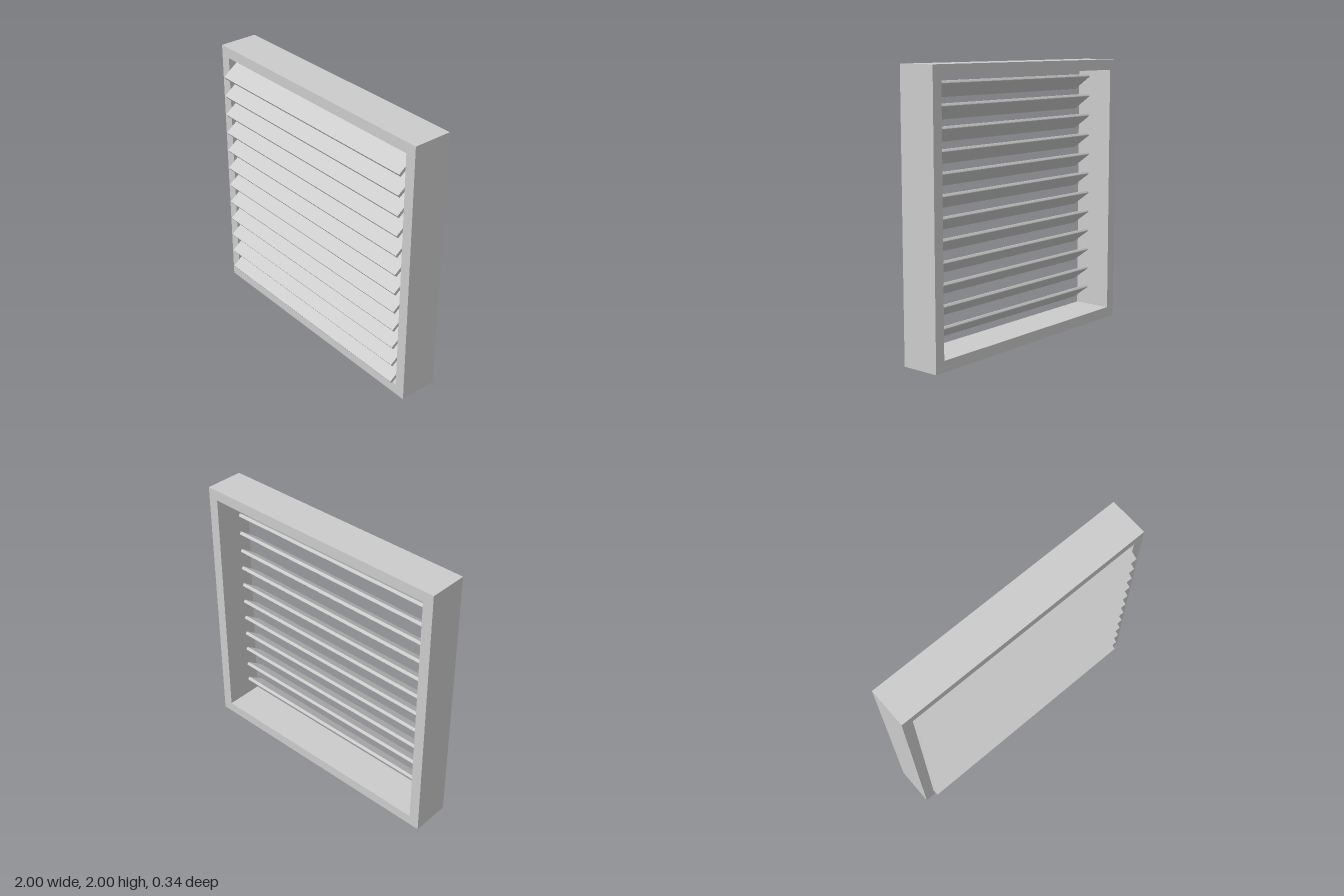
import * as THREE from 'three';

const material = new THREE.MeshStandardMaterial({ color: 0xcccccc, flatShading: true });

// Square frame: outer outline with a square opening, extruded along z
function makeFrame(half, inner, zBack, zFront) {
  const square = (Type, r) => new Type([
    new THREE.Vector2(-r, -r), new THREE.Vector2(r, -r),
    new THREE.Vector2(r, r), new THREE.Vector2(-r, r),
  ]);
  const shape = square(THREE.Shape, half);
  shape.holes.push(square(THREE.Path, inner));
  const geometry = new THREE.ExtrudeGeometry(shape, { depth: zFront - zBack, bevelEnabled: false });
  geometry.translate(0, half, zBack);
  const frame = new THREE.Mesh(geometry, material);
  frame.name = 'frame';
  return frame;
}

// Slat: flat strip with a square front edge and a slightly eased back edge.
// The profile runs back from its upper front corner at the origin.
function makeSlatGeometry(width, depth, thickness, ease, tilt) {
  const profile = new THREE.Shape();
  profile.moveTo(0, 0);
  profile.lineTo(0, -thickness);
  profile.lineTo(depth - ease, -thickness);
  profile.quadraticCurveTo(depth, -thickness, depth, -thickness + ease);
  profile.lineTo(depth, -ease);
  profile.quadraticCurveTo(depth, 0, depth - ease, 0);
  const geometry = new THREE.ExtrudeGeometry(profile, {
    depth: width, bevelEnabled: false, curveSegments: 3,
  });
  geometry.translate(0, 0, -width / 2);
  geometry.rotateZ(tilt); // back edge rises
  geometry.rotateY(Math.PI / 2); // profile depth now runs towards -z
  return geometry;
}

export function createModel() {
  const model = new THREE.Group();
  model.name = 'louvreVent';
  model.add(makeFrame(1, 0.922, -0.17, 0.12));

  // Twelve evenly spaced slats, tilted down to the front
  const slats = new THREE.Group();
  slats.name = 'slats';
  const geometry = makeSlatGeometry(1.84, 0.17, 0.025, 0.006, THREE.MathUtils.degToRad(36));
  const count = 12;
  for (let i = 0; i < count; i++) {
    const slat = new THREE.Mesh(geometry, material);
    slat.name = `slat${i + 1}`;
    slat.position.set(-0.002, 0.133 + i * 0.1505, 0.17);
    slats.add(slat);
  }
  model.add(slats);
  return model;
}
